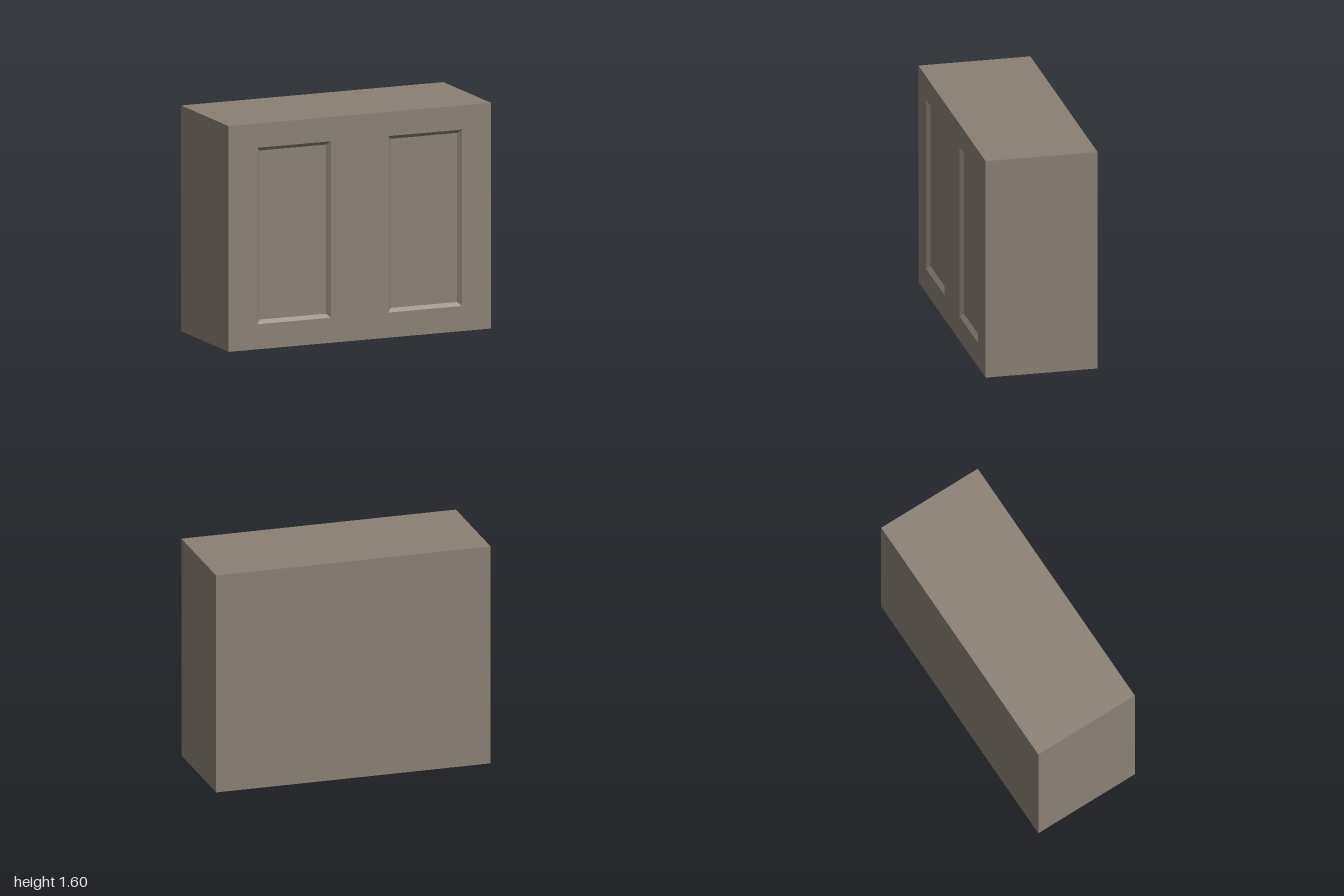
import * as THREE from 'three';

const W = 2, H = 1.6, D = 0.8;
const PANEL = { x: 0.5, y: 0.803, w: 0.56, h: 1.25 }; // centre and outer size
const BEVEL = 0.026, DEPTH = 0.026;

// Corners of a panel rectangle, counter-clockwise, shrunk by an inset
function corners(cx, inset) {
  const a = PANEL.w / 2 - inset, b = PANEL.h / 2 - inset;
  return [[-1, -1], [1, -1], [1, 1], [-1, 1]].map(([sx, sy]) => [cx + sx * a, PANEL.y + sy * b]);
}

// Sloped rim running inwards to a flat sunken field
function recessGeometry(cx) {
  const points = [
    ...corners(cx, 0).map(([x, y]) => [x, y, D / 2]),
    ...corners(cx, BEVEL).map(([x, y]) => [x, y, D / 2 - DEPTH]),
  ];
  const index = [4, 5, 6, 4, 6, 7];
  for (let i = 0; i < 4; i++) {
    const j = (i + 1) % 4;
    index.push(i, j, j + 4, i, j + 4, i + 4);
  }
  const indexed = new THREE.BufferGeometry();
  indexed.setAttribute('position', new THREE.Float32BufferAttribute(points.flat(), 3));
  indexed.setIndex(index);
  const geometry = indexed.toNonIndexed();
  geometry.computeVertexNormals();
  return geometry;
}

export function createModel() {
  const model = new THREE.Group();
  model.name = 'panelledBlock';
  const material = new THREE.MeshStandardMaterial({ color: 0x8b8075 });
  const add = (name, geometry) => {
    const mesh = new THREE.Mesh(geometry, material);
    mesh.name = name;
    model.add(mesh);
  };

  // Body: sides, top, bottom and back, with the front side left open
  const body = new THREE.BoxGeometry(W, H, D).translate(0, H / 2, 0);
  const sides = Array.from(body.index.array);
  sides.splice(24, 6);
  body.setIndex(sides);
  body.clearGroups();
  add('body', body);

  // Front face with an opening for each panel
  const face = new THREE.Shape([[-1, 0], [1, 0], [1, H], [-1, H]].map(p => new THREE.Vector2(...p)));
  for (const side of [-1, 1]) {
    const rim = corners(side * PANEL.x, 0).map(p => new THREE.Vector2(...p));
    face.holes.push(new THREE.Path(rim.reverse()));
  }
  add('frontFace', new THREE.ShapeGeometry(face).translate(0, 0, D / 2));

  // Two recessed panels
  add('leftPanel', recessGeometry(PANEL.x));
  add('rightPanel', recessGeometry(-PANEL.x));

  return model;
}
